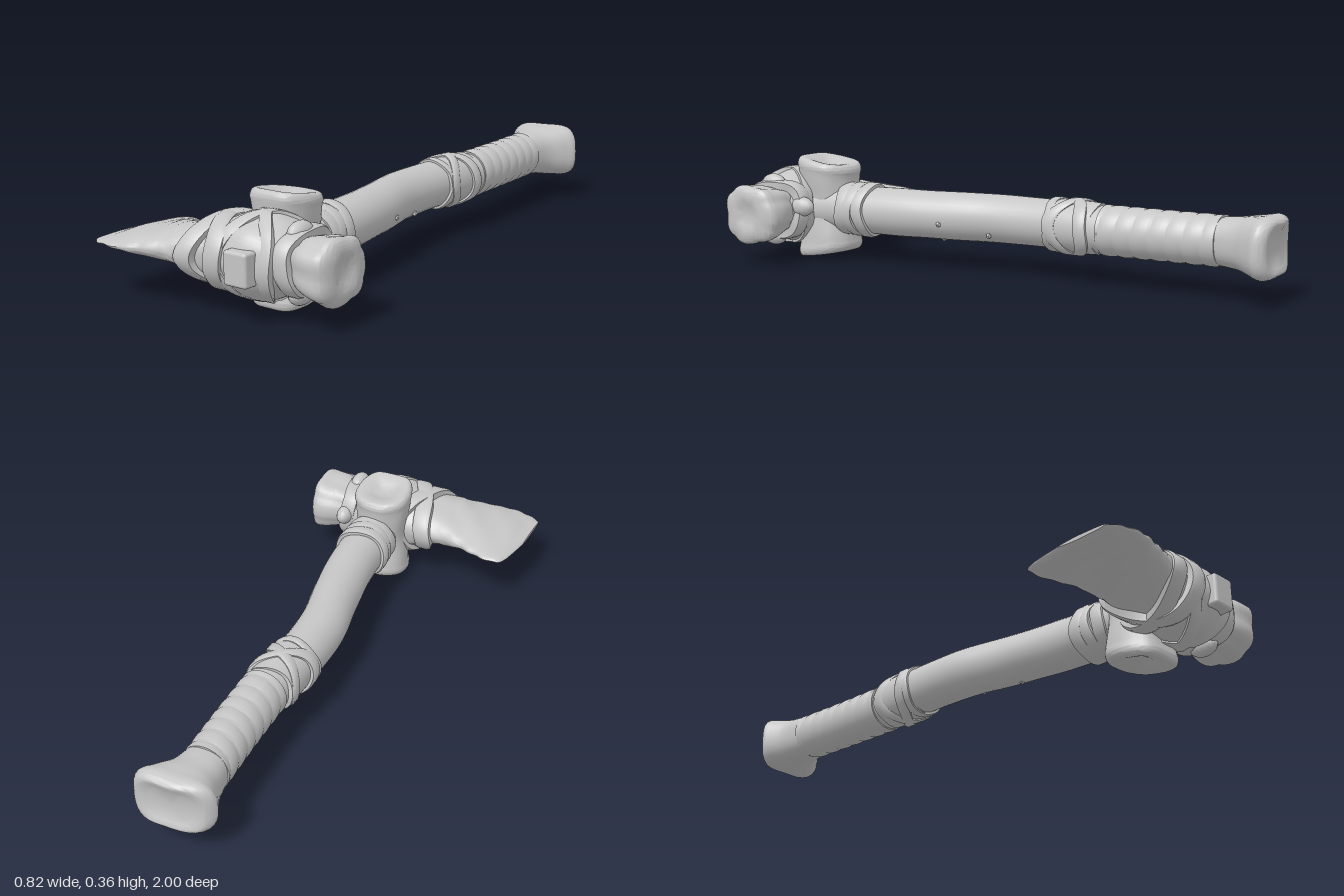
import * as THREE from 'three';
import { RoundedBoxGeometry } from 'three/addons/geometries/RoundedBoxGeometry.js';
import { toCreasedNormals } from 'three/addons/utils/BufferGeometryUtils.js';

const stone = new THREE.MeshStandardMaterial({ color: 0xc6c6c6 });
stone.name = 'lightGrey';

// Soft repeatable unevenness in the range -1..1
const wobble = (x, y, z) =>
  (Math.sin(x * 31 + y * 17 + 1.3) + Math.sin(y * 37 - z * 23 + 0.4) + Math.sin(z * 29 + x * 19 + 2.1)) / 3;

// Puts section coordinates (s along the axis, a and b across it) into space
const place = {
  x: (s, a, b) => [s, b, a],
  y: (s, a, b) => [a, s, b],
  z: (s, a, b) => [a, b, s],
};

// Row = [position, centreA, centreB, radiusA, radiusB]
function sample(rows, s) {
  let i = 0;
  while (i < rows.length - 2 && s > rows[i + 1][0]) i++;
  const p = rows[i], q = rows[i + 1];
  const t = THREE.MathUtils.clamp((s - p[0]) / (q[0] - p[0]), 0, 1);
  return p.map((v, k) => v + (q[k] - v) * t);
}

// Catmull-Rom interpolation of rows by index
function smoothRow(rows, u) {
  const f = u * (rows.length - 1), i = Math.min(Math.floor(f), rows.length - 2), t = f - i;
  const at = (k) => rows[THREE.MathUtils.clamp(k, 0, rows.length - 1)];
  return rows[i].map((_, k) => {
    const [a, b, c, d] = [at(i - 1)[k], at(i)[k], at(i + 1)[k], at(i + 2)[k]];
    return b + 0.5 * t * (c - a + t * (2 * a - 5 * b + 4 * c - d + t * (3 * (b - c) + d - a)));
  });
}

const sup = (v, e) => Math.sign(v) * Math.pow(Math.abs(v), 2 / e);

// Indexed geometry with outward faces
function finish(pos, idx) {
  const P = (i) => new THREE.Vector3(pos[i * 3], pos[i * 3 + 1], pos[i * 3 + 2]);
  let volume = 0;
  for (let i = 0; i < idx.length; i += 3) volume += P(idx[i]).dot(P(idx[i + 1]).cross(P(idx[i + 2])));
  if (volume < 0) idx.reverse();
  const g = new THREE.BufferGeometry();
  g.setAttribute('position', new THREE.Float32BufferAttribute(pos, 3));
  g.setIndex(idx);
  return toCreasedNormals(g, 0.7);
}

// Closed body through superellipse sections
function loft(axis, rows, { n = 32, steps = 40, e = 2, rough = 0, swell = () => 1, warp = (p) => p } = {}) {
  const pos = [], idx = [];
  for (let j = 0; j <= steps; j++) {
    const [s, ca, cb, ra, rb] = smoothRow(rows, j / steps);
    for (let i = 0; i < n; i++) {
      const t = (i / n) * Math.PI * 2;
      const a = sup(Math.cos(t), e) * ra, b = sup(Math.sin(t), e) * rb;
      const k = swell(s, t) * (1 + rough * wobble(...place[axis](s, ca + a, cb + b)));
      pos.push(...warp(place[axis](s, ca + a * k, cb + b * k)));
      if (j < steps) {
        const p = j * n + i, q = j * n + ((i + 1) % n);
        idx.push(p, q, p + n, q, q + n, p + n);
      }
    }
  }
  for (const end of [0, 1]) {
    const r = rows[end ? rows.length - 1 : 0], c = pos.length / 3, o = end ? steps * n : 0;
    pos.push(...warp(place[axis](r[0], r[1], r[2])));
    for (let i = 0; i < n; i++) {
      const p = o + i, q = o + ((i + 1) % n);
      idx.push(...(end ? [p, q, c] : [q, p, c]));
    }
  }
  return finish(pos, idx);
}

// Strap hugging a lofted body; tilt slants it along the axis
function strap(axis, rows, centre, tilt, width, thick, e = 2, n = 48) {
  const section = [[-0.5, -0.02], [-0.5, thick * 0.7], [-0.3, thick], [0.3, thick], [0.5, thick * 0.7], [0.5, -0.02]];
  const m = section.length, pos = [], idx = [];
  for (let i = 0; i < n; i++) {
    const t = (i / n) * Math.PI * 2, mid = centre + tilt * Math.cos(t) + 0.006 * Math.sin(t * 3 + centre * 40);
    const [, ca, cb, ra, rb] = sample(rows, mid);
    section.forEach(([w, h], k) => {
      pos.push(...place[axis](mid + w * width, ca + sup(Math.cos(t), e) * (ra + h), cb + sup(Math.sin(t), e) * (rb + h)));
      const i2 = (i + 1) % n, k2 = (k + 1) % m;
      idx.push(i * m + k, i2 * m + k, i * m + k2, i2 * m + k, i2 * m + k2, i * m + k2);
    });
  }
  return finish(pos, idx);
}

const Y = 0.184;
const HANDLE = [
  [-0.8, 0.0, Y, 0.076, 0.076], [-0.6, 0.012, Y, 0.076, 0.076], [-0.4, 0.02, Y, 0.077, 0.077],
  [-0.2, 0.004, Y, 0.08, 0.08], [0, 0.012, Y, 0.082, 0.082], [0.2, 0.055, Y, 0.084, 0.082],
  [0.4, 0.088, Y, 0.085, 0.082], [0.6, 0.102, Y, 0.085, 0.082], [0.75, 0.12, Y, 0.08, 0.08],
];
const HEAD = [
  [-0.41, 0.88, 0.18, 0.09, 0.006], [-0.385, 0.825, 0.18, 0.165, 0.013], [-0.35, 0.815, 0.183, 0.184, 0.021],
  [-0.28, 0.822, 0.185, 0.178, 0.033], [-0.2, 0.825, 0.187, 0.16, 0.049], [-0.1, 0.822, 0.187, 0.135, 0.069],
  [0, 0.803, Y, 0.13, 0.098], [0.07, 0.805, Y, 0.135, 0.122], [0.14, 0.805, Y, 0.137, 0.13],
  [0.2, 0.797, Y, 0.125, 0.112], [0.25, 0.785, Y, 0.105, 0.085], [0.3, 0.785, Y, 0.08, 0.07],
];

export function createModel() {
  const model = new THREE.Group();
  const add = (name, geometry, parent = model) => {
    const mesh = new THREE.Mesh(geometry, stone);
    mesh.name = name;
    parent.add(mesh);
    return mesh;
  };
  const group = (name) => {
    const g = new THREE.Group();
    g.name = name;
    model.add(g);
    return g;
  };

  // Curved wooden handle with small knots
  add('handle', loft('z', HANDLE, { steps: 60, rough: 0.012 }));
  for (const [x, y, z] of [[0.132, 0.165, 0.18], [0.083, 0.135, 0.01], [0.068, 0.107, 0.2]]) {
    const knot = add('knot', new THREE.DodecahedronGeometry(0.01));
    knot.position.set(x, y, z);
  }

  // Flared bone-like pommel: two lobes with a shallow saddle between
  add('pommel', loft('z', [
    [-0.988, 0.012, Y, 0.07, 0.06], [-0.992, 0.012, Y, 0.112, 0.095], [-0.96, 0.012, Y, 0.134, 0.112],
    [-0.92, 0.006, Y, 0.118, 0.1], [-0.87, 0.002, Y, 0.09, 0.084], [-0.82, 0, Y, 0.077, 0.079], [-0.77, 0, Y, 0.072, 0.072],
  ], {
    e: 2.5, rough: 0.03, n: 40,
    swell: (s, t) => 1 - 0.17 * Math.sin(t) ** 6 * THREE.MathUtils.smoothstep(-s, 0.86, 0.97),
    warp: ([x, y, z]) => {
      const end = THREE.MathUtils.smoothstep(-z, 0.9, 1);
      return [x, y, z - 0.006 * end + end * (0.012 * (1 - Math.min(1, ((y - Y) / 0.09) ** 2)) + 0.025 * Math.max(0, -x / 0.13))];
    },
  }));

  // Grip wound with a slanted cord
  add('grip', loft('z', HANDLE.slice(0, 3).map(([s, a, b, r, q]) => [s, a, b, r + 0.004, q + 0.004]), {
    steps: 110, n: 40,
    swell: (s, t) => {
      const f = (((s / 0.058 + t / (Math.PI * 2)) % 1) + 1) % 1;
      return 0.965 + 0.06 * Math.pow(Math.sin(Math.PI * f), 0.6);
    },
  }));

  // Crossed straps at the front of the grip
  const gripWrap = group('gripWrap');
  add('gripCollar', strap('z', HANDLE, -0.29, 0, 0.17, 0.007), gripWrap);
  for (const side of [-1, 1]) add('gripStrap', strap('z', HANDLE, -0.29, side * 0.06, 0.045, 0.016), gripWrap);
  add('gripEndRing', strap('z', HANDLE, -0.215, 0, 0.03, 0.011), gripWrap);

  // Rings below the head
  const neck = group('neckWrap');
  [0.49, 0.528, 0.566].forEach((z, i) =>
    add('neckRing', strap('z', HANDLE, z, i === 1 ? 0.004 : -0.004, 0.046, 0.014 - i * 0.002), neck));

  // Stone head with thin chipped blade
  add('stoneHead', loft('x', HEAD, {
    n: 48, steps: 80, rough: 0.04,
    swell: (s, t) => s < -0.12
      ? 1 + 0.016 * Math.sin(s * 95) * Math.cos(t * 2) + 0.05 * Math.sin(t * 5 + s * 34) * Math.sin(t) ** 2
      : 1 + 0.014 * Math.sin(t * 7 + s * 20),
  }));

  // Lumpy poll behind the binding
  add('poll', loft('x', [
    [0.22, 0.78, Y, 0.08, 0.07], [0.27, 0.785, Y, 0.088, 0.076], [0.31, 0.79, Y, 0.104, 0.087],
    [0.35, 0.79, 0.181, 0.114, 0.094], [0.385, 0.79, 0.18, 0.112, 0.1], [0.402, 0.79, 0.18, 0.09, 0.088],
    [0.408, 0.79, 0.18, 0.055, 0.06], [0.4, 0.79, 0.18, 0.025, 0.025],
  ], {
    e: 2.4, rough: 0.06, n: 48,
    swell: (s, t) => 1 + 0.075 * (Math.abs(Math.cos(t * 3.5 + 0.6 + s * 3)) - 0.6),
  }));

  // Cross block standing out above and below the head, ends creased and dished
  add('crossBlock', loft('y', [
    [0.022, 0.096, 0.672, 0.03, 0.03], [0.007, 0.096, 0.672, 0.062, 0.062], [0.003, 0.096, 0.672, 0.09, 0.09],
    [0.025, 0.096, 0.672, 0.101, 0.101],
    [0.06, 0.096, 0.672, 0.097, 0.098], [Y, 0.096, 0.672, 0.088, 0.09], [0.31, 0.096, 0.672, 0.097, 0.098],
    [0.343, 0.096, 0.672, 0.101, 0.101], [0.365, 0.096, 0.672, 0.09, 0.09],
    [0.361, 0.096, 0.672, 0.062, 0.062], [0.346, 0.096, 0.672, 0.03, 0.03],
  ], {
    e: 3, rough: 0.05, steps: 60, n: 40,
    swell: (s, t) => 1 + 0.02 * Math.cos(t * 5 + 1.6),
    warp: ([x, y, z]) => [
      0.1 + (x - 0.1) * (1 - 1.8 * Math.max(0, 0.65 - z) - 1.5 * Math.max(0, z - 0.7)),
      Y + (y - Y) * (1 + 0.9 * (z - 0.77)), z],
  }));

  // Square tenon at the front of the head
  const tenon = add('tenon', new RoundedBoxGeometry(0.086, 0.104, 0.16, 2, 0.01));
  tenon.position.set(0.143, 0.18, 0.885);

  // Bindings around the head
  const binding = group('headBinding');
  for (const side of [-1, 1]) {
    add('bladeStrap', strap('x', HEAD, -0.01, side * 0.052, 0.062, 0.019), binding);
    add('crossStrap', strap('x', HEAD, 0.13, side * 0.085, 0.048, 0.008), binding);
  }
  add('pollStrap', strap('x', HEAD, 0.25, 0.008, 0.055, 0.018, 2.5), binding);

  // Knotted lumps on the poll strap
  for (const [y, z] of [[0.272, 0.8], [0.09, 0.8], [0.2, 0.675]]) {
    const lump = add('bindingKnot', new THREE.SphereGeometry(1, 14, 10), binding);
    lump.scale.set(0.03, 0.034, 0.05);
    lump.position.set(0.25, y, z);
  }
  return model;
}
